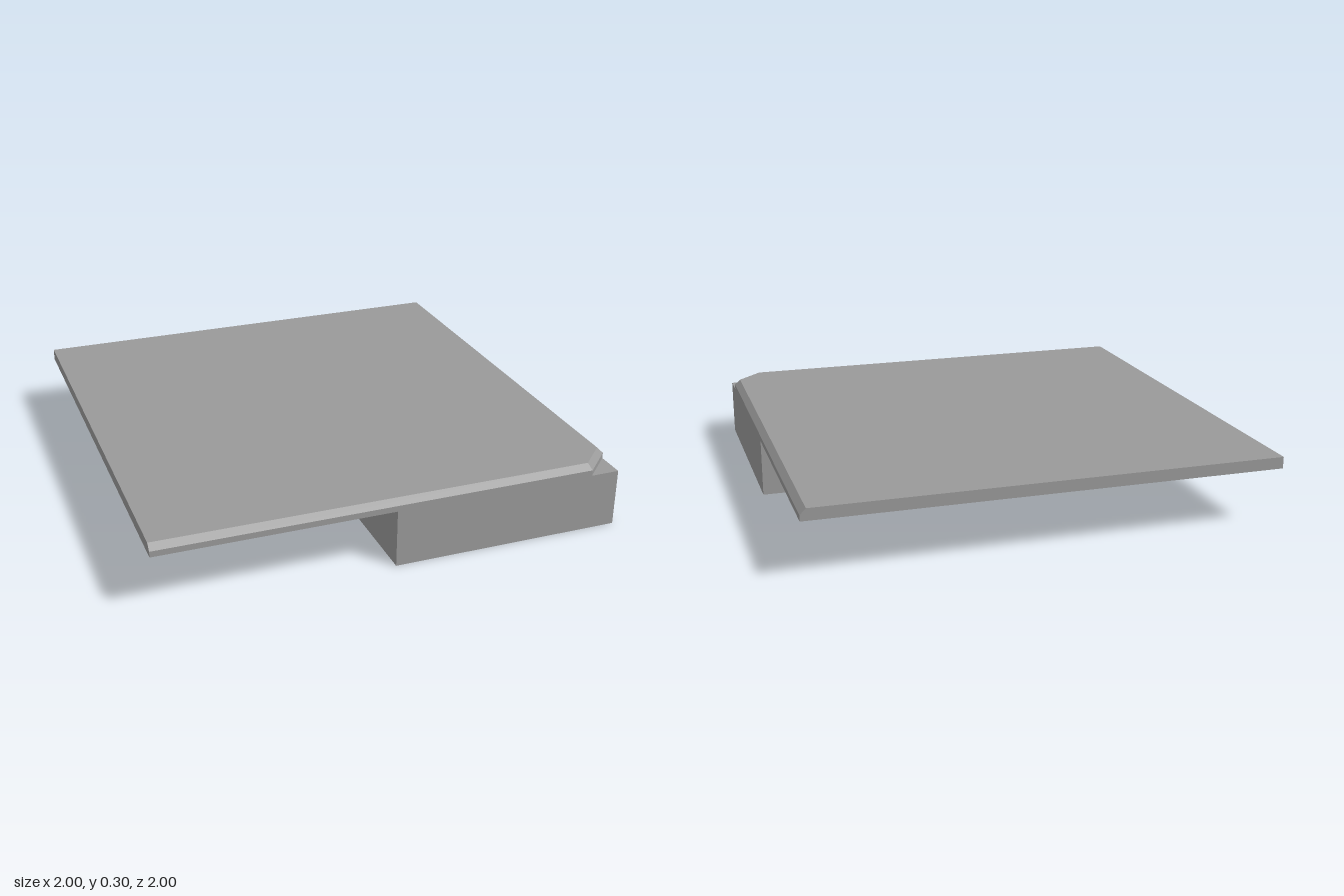
import * as THREE from 'three';

// Cross-section of the slab: five corners, counter-clockwise seen from above.
// The left and front edges can be inset for the bevel; the other edges stay flush.
function ring(y, inset, cut) {
  const e = 1 - inset;
  return [[-1, -1], [-1, e], [cut, e], [e, cut], [e, -1]]
    .map(([x, z]) => new THREE.Vector3(x, y, z));
}

// Thin shell through a stack of rings, closed on top and open underneath
function shell(rings) {
  const points = [];
  for (let r = 0; r < rings.length - 1; r++) {
    const low = rings[r], high = rings[r + 1];
    for (let i = 0; i < low.length; i++) {
      const j = (i + 1) % low.length;
      points.push(low[i], low[j], high[j], low[i], high[j], high[i]);
    }
  }
  const top = rings[rings.length - 1];
  for (let i = 1; i < top.length - 1; i++) points.push(top[0], top[i], top[i + 1]);
  const geometry = new THREE.BufferGeometry().setFromPoints(points);
  geometry.computeVertexNormals();
  return geometry;
}

export function createModel() {
  const grey = new THREE.MeshStandardMaterial({ color: 0x999999, side: THREE.DoubleSide });
  grey.name = 'grey';
  const model = new THREE.Group();
  model.name = 'cornerSlab';

  // Slab with a clipped corner and bevelled left and front edges
  const slab = new THREE.Mesh(shell([
    ring(0.25, 0, 0.875),
    ring(0.275, 0, 0.875),
    ring(0.3, 0.025, 0.865),
  ]), grey);
  slab.name = 'slab';

  // Block under the front left quarter
  const block = new THREE.Mesh(new THREE.BoxGeometry(1, 0.25, 1), grey);
  block.name = 'supportBlock';
  block.position.set(0.5, 0.125, 0.5);

  model.add(slab, block);
  return model;
}
